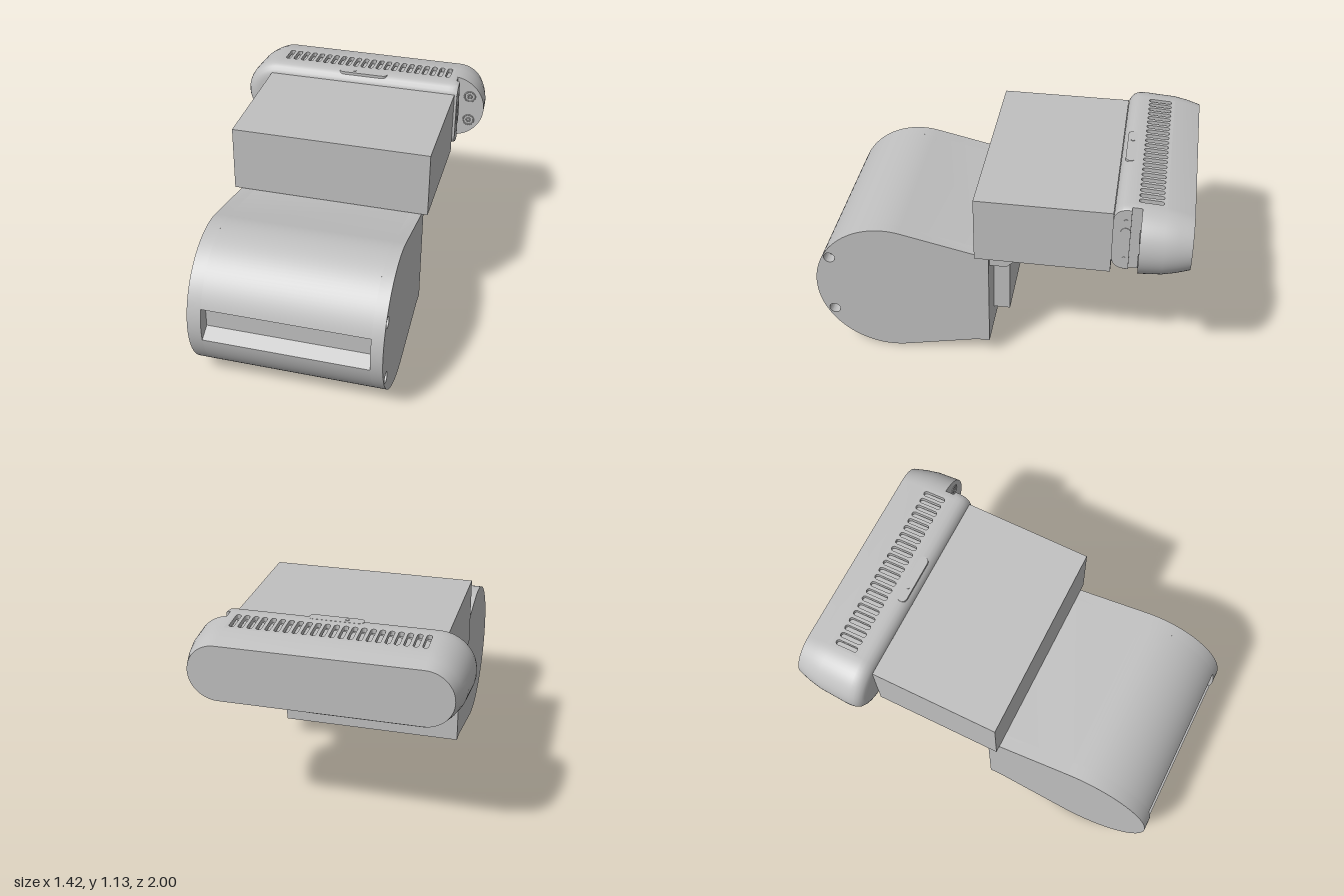
import * as THREE from 'three';
import { toCreasedNormals } from 'three/addons/utils/BufferGeometryUtils.js';

const grey = new THREE.MeshStandardMaterial({ color: 0xc0c0c0 });
grey.name = 'matte grey';

const V = (x, y) => new THREE.Vector2(x, y);

function add(parent, name, geometry, x = 0, y = 0, z = 0) {
  const mesh = new THREE.Mesh(geometry, grey);
  mesh.name = name;
  mesh.position.set(x, y, z);
  parent.add(mesh);
  return mesh;
}

const box = (w, h, d) => new THREE.BoxGeometry(w, h, d);

// Extrudes a side profile, given as (-z, y), along x from x0 to x1
function alongX(shape, x0, x1) {
  const g = new THREE.ExtrudeGeometry(shape, { depth: x1 - x0, bevelEnabled: false, curveSegments: 20 });
  return toCreasedNormals(g.rotateY(Math.PI / 2).translate(x0, 0, 0), 0.5);
}

// Extrudes a plan, given as (x, -z), upwards from y0
function upward(shape, y0, height) {
  const g = new THREE.ExtrudeGeometry(shape, { depth: height, bevelEnabled: false, curveSegments: 8 });
  return g.rotateX(-Math.PI / 2).translate(0, y0, 0);
}

// Upright pill outline w wide and h tall
function pill(cx, cy, w, h, Type = THREE.Shape) {
  const r = w / 2, s = h / 2 - r, p = new Type();
  p.absarc(cx, cy + s, r, 0, Math.PI);
  p.absarc(cx, cy - s, r, Math.PI, Math.PI * 2);
  p.closePath();
  return p;
}

// Teardrop profile of the lower housing, optionally with the front slot
function housingProfile(slot) {
  const pts = [V(-0.04, 0.1), V(-0.04, 0.7), V(-0.11, 0.7)];
  const arc = (a, b, n) => {
    for (let i = 0; i <= n; i++) {
      const t = THREE.MathUtils.degToRad(a + ((b - a) * i) / n);
      pts.push(V(-0.6 + 0.4 * Math.cos(t), 0.4 + 0.4 * Math.sin(t)));
    }
  };
  if (slot) {
    arc(77.35, 162.5, 28);
    pts.push(V(-0.92, 0.475), V(-0.92, 0.37));
    arc(190.1, 282.65, 30);
  } else arc(77.35, 282.65, 64);
  pts.push(V(-0.11, 0.1));
  return new THREE.Shape(pts);
}

// Head shell: pill sections [z, inset, right-hand limit of x] from front to back
function headShell() {
  const rings = [
    [-0.6, 0.07, 0.565], [-0.603, 0.05, 0.565], [-0.611, 0.032, 0.565], [-0.625, 0.015, 0.565],
    [-0.645, 0.004, 0.565], [-0.67, 0, 0.565], [-0.69, 0, 0.565], [-0.69, 0, 0.545],
    [-0.7, 0, 0.545], [-0.74, 0.0025, 0.545], [-0.74, 0.0025, 9], [-0.86, 0.01, 9],
    [-0.93, 0.024, 9], [-1, 0.045, 9]];
  const n = 28, count = 2 * (n + 1), pos = [], index = [];
  for (const [z, inset, limit] of rings)
    for (let i = 0; i < count; i++) {
      const right = i <= n, r = 0.195 - inset;
      const t = -Math.PI / 2 + (Math.PI * (right ? i : i - 1)) / n;
      pos.push(Math.min((right ? 0.515 : -0.515) + r * Math.cos(t), limit), 0.93 + r * Math.sin(t), z);
    }
  for (let j = 0; j < rings.length - 1; j++)
    for (let i = 0; i < count; i++) {
      // the top strip is left open for the vent panel
      if (i === n && j >= 8 && j <= 10) continue;
      const a = j * count + i, b = j * count + ((i + 1) % count), c = a + count, d = b + count;
      index.push(a, c, b, b, c, d);
    }
  const front = pos.length / 3, last = (rings.length - 1) * count;
  pos.push(0, 0.93, -0.6, 0, 0.93, -1);
  for (let i = 0; i < count; i++) {
    const k = (i + 1) % count;
    index.push(front, i, k, front + 1, last + k, last + i);
  }
  const g = new THREE.BufferGeometry();
  g.setAttribute('position', new THREE.Float32BufferAttribute(pos, 3));
  g.setIndex(index);
  return toCreasedNormals(g, 0.6);
}

// Panel with a row of vent slots, sloping gently to the back
function ventPanel() {
  const shape = new THREE.Shape([V(-0.515, 0.7), V(0.515, 0.7), V(0.515, 0.86), V(-0.515, 0.86)]);
  for (let i = 0; i < 22; i++)
    shape.holes.push(pill(-0.484 + i * 0.0461, 0.78, 0.028, 0.125, THREE.Path));
  const g = upward(shape, 1.1, 0.025), p = g.attributes.position;
  for (let i = 0; i < p.count; i++) p.setY(i, p.getY(i) - (-p.getZ(i) - 0.7) * 0.0625);
  return toCreasedNormals(g, 0.6);
}

export function createModel() {
  const model = new THREE.Group();
  model.name = 'device';

  // Lower housing: slotted middle and two ends, screw holes on the left one
  const housing = new THREE.Group();
  housing.name = 'housing';
  model.add(housing);
  add(housing, 'housingMiddle', alongX(housingProfile(true), -0.44, 0.45));
  add(housing, 'housingRightEnd', alongX(housingProfile(false), -0.515, -0.44));
  const leftEnd = housingProfile(false);
  for (const y of [0.585, 0.225])
    leftEnd.holes.push(new THREE.Path().absarc(-0.913, y, 0.031, 0, Math.PI * 2));
  add(housing, 'housingLeftEnd', alongX(leftEnd, 0.45, 0.515));

  // Back plate with two small studs underneath
  add(model, 'backPlate', box(0.7, 0.4, 0.095), 0, 0.41, -0.0025);
  for (const s of [-1, 1])
    add(model, 'plateStud', new THREE.CylinderGeometry(0.016, 0.016, 0.008, 16), s * 0.27, 0.208, -0.02);

  // Hinge lugs under the block
  const lug = new THREE.Shape([V(-0.045, 0.71), V(0.11, 0.71), V(0.09, 0.685), V(0.09, 0.65),
    V(0.05, 0.61), V(-0.045, 0.61)]);
  for (const s of [-1, 1]) {
    add(model, 'outerLug', alongX(lug, s * 0.43 - 0.05, s * 0.43 + 0.05));
    add(model, 'innerLug', alongX(lug, s * 0.21 - 0.025, s * 0.21 + 0.025));
  }

  // Middle block
  add(model, 'block', box(1.1, 0.37, 0.71), 0, 0.89, -0.245);

  // Head
  const head = new THREE.Group();
  head.name = 'head';
  model.add(head);
  add(head, 'headShell', headShell());
  add(head, 'ventPanel', ventPanel());
  add(head, 'ventFloor', box(1.03, 0.02, 0.16), 0, 1.075, -0.78);

  // Top button and its indicator
  const button = pill(0, 0, 0.054, 0.285);
  const buttonGeo = upward(button, 0, 0.02).rotateY(Math.PI / 2);
  add(head, 'button', buttonGeo, 0, 1.106, -0.652);
  add(head, 'indicator', new THREE.CylinderGeometry(0.01, 0.01, 0.004, 16), -0.055, 1.127, -0.652);

  // Port and screws on the notched end
  add(head, 'port', alongX(pill(0.665, 0.93, 0.05, 0.15), 0.56, 0.568));
  for (const y of [0.81, 1.045])
    add(head, 'portScrew', new THREE.CylinderGeometry(0.013, 0.013, 0.008, 16).rotateZ(Math.PI / 2), 0.564, y, -0.665);

  // Round sockets on the step face
  for (const y of [0.85, 1.003]) {
    add(head, 'socketRing', new THREE.TorusGeometry(0.031, 0.004, 8, 32), 0.622, y, -0.739);
    add(head, 'socketPin', new THREE.TorusGeometry(0.011, 0.004, 8, 20), 0.622, y, -0.739);
  }
  return model;
}
